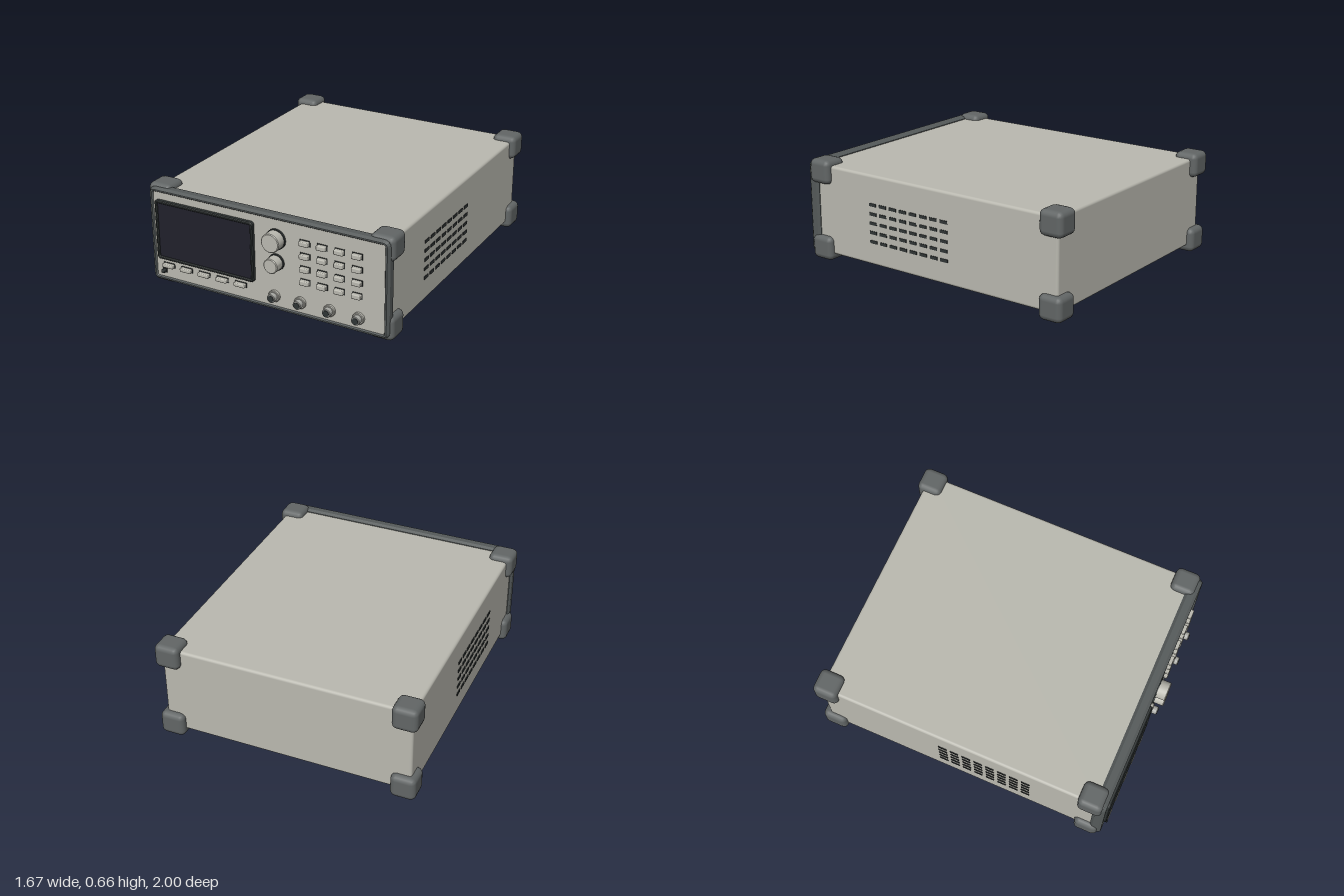
import * as THREE from 'three';
import { RoundedBoxGeometry } from 'three/addons/geometries/RoundedBoxGeometry.js';
import { toCreasedNormals } from 'three/addons/utils/BufferGeometryUtils.js';

const mat = (name, color) => {
  const m = new THREE.MeshStandardMaterial({ color });
  m.name = name;
  return m;
};

export function createModel() {
  const root = new THREE.Group();
  root.name = 'benchInstrument';

  const casing = mat('casing grey', 0xbab9b0);
  const bumper = mat('bumper grey', 0x626666);
  const bezelMat = mat('bezel grey', 0x555a5a);
  const dark = mat('dark plastic', 0x2f3434);
  const glass = mat('screen glass', 0x20202b);
  const metal = mat('connector metal', 0xa9aaa5);

  const PANEL = 0.925; // front surface of the control panel

  const add = (name, geo, material, x, y, z, parent = root) => {
    const mesh = new THREE.Mesh(geo, material);
    mesh.name = name;
    mesh.position.set(x, y, z);
    parent.add(mesh);
    return mesh;
  };
  const group = (name) => {
    const g = new THREE.Group();
    g.name = name;
    root.add(g);
    return g;
  };
  // rounded rectangle outline, centred on the origin
  const roundRect = (path, w, h, r) => {
    const x = w / 2, y = h / 2;
    path.moveTo(-x + r, -y);
    path.lineTo(x - r, -y);
    path.quadraticCurveTo(x, -y, x, -y + r);
    path.lineTo(x, y - r);
    path.quadraticCurveTo(x, y, x - r, y);
    path.lineTo(-x + r, y);
    path.quadraticCurveTo(-x, y, -x, y - r);
    path.lineTo(-x, -y + r);
    path.quadraticCurveTo(-x, -y, -x + r, -y);
    return path;
  };
  // solid of revolution pointing to +z; points are [radius, height]
  const turned = (points) => {
    const geo = new THREE.LatheGeometry(points.map(([r, h]) => new THREE.Vector2(r, h)), 32);
    return toCreasedNormals(geo.rotateX(Math.PI / 2), 0.6);
  };

  // casing
  add('casing', new RoundedBoxGeometry(1.6, 0.58, 1.85, 2, 0.018), casing, 0, 0.336, -0.033);

  // corner bumpers
  const bumpers = group('cornerBumpers');
  const bumperGeo = new RoundedBoxGeometry(0.16, 0.156, 0.16, 2, 0.035);
  for (const x of [-0.755, 0.755])
    for (const y of [0.082, 0.582])
      for (const z of [-0.92, 0.835]) add('cornerBumper', bumperGeo, bumper, x, y, z, bumpers);

  // feet
  const feet = group('feet');
  const footGeo = new THREE.ExtrudeGeometry(roundRect(new THREE.Shape(), 0.115, 0.14, 0.025), {
    depth: 0.04, bevelEnabled: true, bevelSize: 0.01, bevelThickness: 0.01, bevelSegments: 1, curveSegments: 4,
  }).rotateX(-Math.PI / 2);
  for (const x of [-0.535, 0.535])
    for (const z of [-0.65, 0.585]) add('foot', footGeo, dark, x, 0.01, z, feet);

  // front bezel and control panel
  const ring = roundRect(new THREE.Shape(), 1.608, 0.594, 0.03);
  ring.holes.push(roundRect(new THREE.Path(), 1.588, 0.576, 0.02));
  add('frontBezel', new THREE.ExtrudeGeometry(ring, {
    depth: 0.04, bevelEnabled: true, bevelSize: 0.012, bevelThickness: 0.018, bevelSegments: 1, curveSegments: 4,
  }), bezelMat, 0, 0.334, 0.877);
  add('controlPanel', new THREE.BoxGeometry(1.59, 0.575, 0.05), casing, 0, 0.334, PANEL - 0.025);

  // display
  const frame = roundRect(new THREE.Shape(), 0.686, 0.38, 0.015);
  frame.holes.push(roundRect(new THREE.Path(), 0.67, 0.364, 0.01));
  add('screenFrame', new THREE.ExtrudeGeometry(frame, {
    depth: 0.02, bevelEnabled: true, bevelSize: 0.005, bevelThickness: 0.006, bevelSegments: 1, curveSegments: 3,
  }), dark, -0.418, 0.375, PANEL);
  add('screen', new THREE.BoxGeometry(0.67, 0.365, 0.018), glass, -0.418, 0.375, PANEL + 0.006);

  // rotary knobs on dark collars
  for (const [name, y, r] of [['largeKnob', 0.493, 0.06], ['smallKnob', 0.346, 0.047]]) {
    const knob = group(name);
    add('knobCollar', turned([[0, 0], [r + 0.005, 0], [r + 0.005, 0.013], [0, 0.013]]), dark, 0.08, y, PANEL, knob);
    add('knobCap', turned([[r, 0.01], [r, 0.07], [r - 0.005, 0.075], [0, 0.075]]), casing, 0.08, y, PANEL, knob);
  }

  // push buttons, each with a thin dark surround
  const addButton = (name, x, y, w, h, material, parent) => {
    add(name + 'Surround', new THREE.BoxGeometry(w + 0.007, h + 0.007, 0.008), dark, x, y, PANEL, parent);
    add(name, new RoundedBoxGeometry(w, h, 0.05, 2, 0.006), material, x, y, PANEL + 0.004, parent);
  };
  const keypad = group('keypad');
  for (let col = 0; col < 4; col++)
    for (let row = 0; row < 4; row++)
      addButton('key', 0.274 + col * 0.1133, 0.511 - row * 0.0833, 0.06, 0.03, casing, keypad);
  const softKeys = group('softKeys');
  for (let i = 0; i < 5; i++) addButton('softKey', -0.696 + i * 0.1305, 0.138, 0.076, 0.024, casing, softKeys);
  addButton('powerButton', -0.732, 0.096, 0.024, 0.022, dark, root);

  // coaxial connectors: flange, barrel and dark socket
  const connectors = group('connectors');
  const flange = turned([[0.037, 0], [0.037, 0.014], [0.033, 0.018], [0, 0.018]]);
  const barrel = turned([[0.027, 0.01], [0.027, 0.047], [0.024, 0.05], [0, 0.05]]);
  const socket = turned([[0.02, 0.047], [0.02, 0.053], [0, 0.053]]);
  for (const x of [0.0625, 0.239, 0.435, 0.625]) {
    add('connectorFlange', flange, casing, x, 0.12, PANEL, connectors);
    add('connectorBarrel', barrel, metal, x, 0.12, PANEL, connectors);
    add('connectorSocket', socket, dark, x, 0.12, PANEL, connectors);
  }

  // side ventilation slots
  const vents = group('ventSlots');
  const slot = new THREE.BoxGeometry(0.008, 0.02, 0.055);
  for (const x of [-0.8, 0.8])
    for (let col = 0; col < 8; col++)
      for (let row = 0; row < 5; row++)
        add('ventSlot', slot, dark, x, 0.437 - row * 0.0598, 0.413 - col * 0.0797, vents);

  return root;
}
